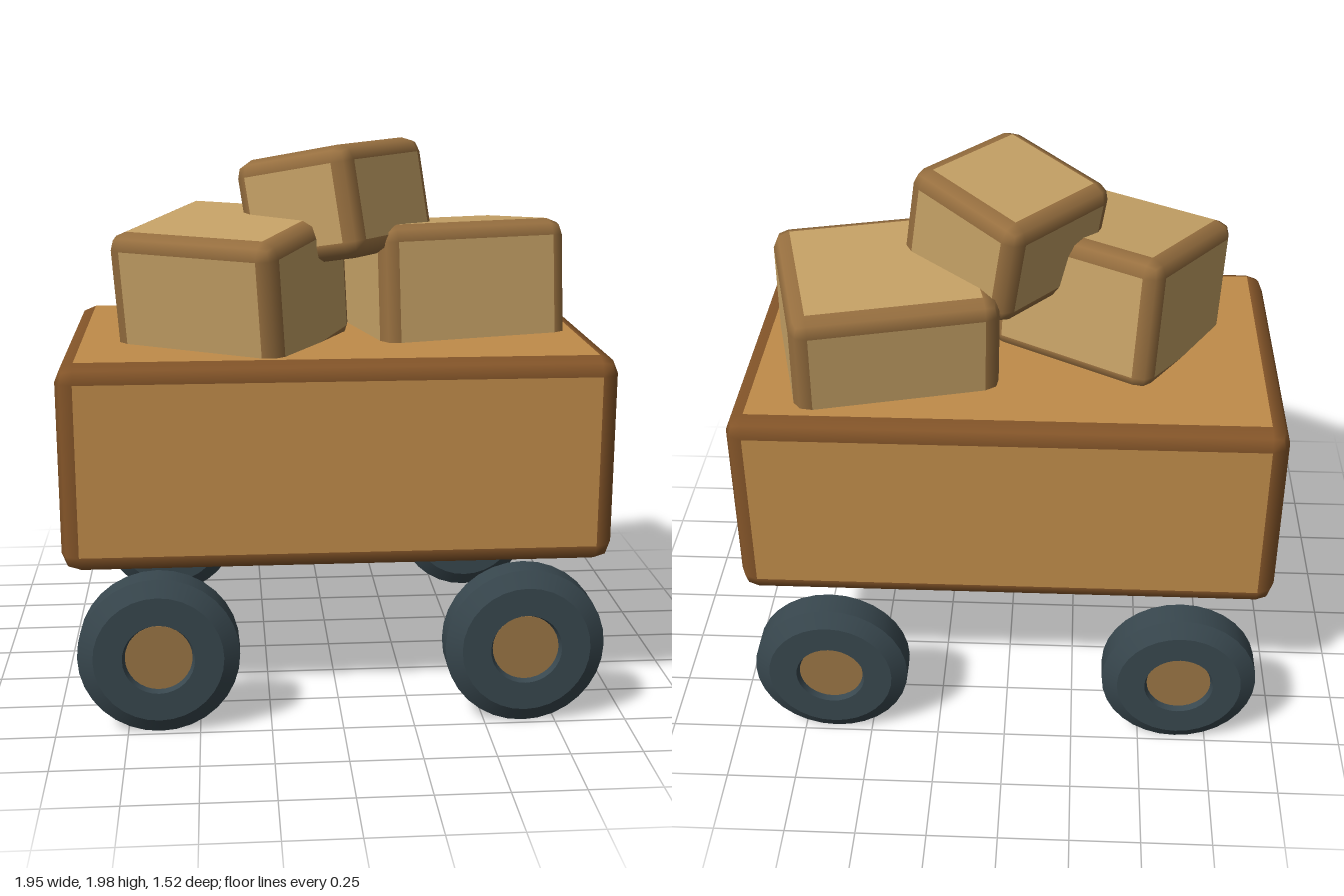
import * as THREE from 'three';
import { RoundedBoxGeometry } from 'three/addons/geometries/RoundedBoxGeometry.js';

const mat = (name, color) => {
  const m = new THREE.MeshStandardMaterial({ color });
  m.name = name;
  return m;
};

// Chamfered box: flat faces use the panel material, bevels use the trim material
function trimmedBox(name, w, h, d, bevel, panel, trim) {
  const source = new RoundedBoxGeometry(w, h, d, 1, bevel);
  const pos = source.attributes.position, nor = source.attributes.normal;
  const lists = [[], []];
  for (let i = 0; i < pos.count; i += 3) {
    let flat = true;
    for (let k = i; k < i + 3; k++) {
      const n = Math.max(Math.abs(nor.getX(k)), Math.abs(nor.getY(k)), Math.abs(nor.getZ(k)));
      if (n < 0.999) flat = false;
    }
    lists[flat ? 0 : 1].push(i, i + 1, i + 2);
  }
  const geo = new THREE.BufferGeometry();
  geo.setAttribute('position', pos);
  geo.setAttribute('normal', nor);
  geo.setIndex([...lists[0], ...lists[1]]);
  geo.addGroup(0, lists[0].length, 0);
  geo.addGroup(lists[0].length, lists[1].length, 1);
  const mesh = new THREE.Mesh(geo, [panel, trim]);
  mesh.name = name;
  return mesh;
}

export function createModel() {
  const model = new THREE.Group();
  model.name = 'loadedCart';
  const cartWood = mat('cart wood', 0xc08c4a);
  const cartTrim = mat('cart trim', 0x845529);
  const crateTan = mat('crate tan', 0xc6a266);
  const crateTrim = mat('crate trim', 0x987040);
  const rubber = mat('tyre rubber', 0x38474e);
  const hubWood = mat('hub wood', 0x9a7545);

  // Cart body
  const body = trimmedBox('cartBody', 1.95, 0.745, 1.2, 0.065, cartWood, cartTrim);
  body.position.y = 0.908;
  model.add(body);

  // Crates: name, size, position, yaw, pitch, roll
  const crates = [
    ['rightCrate', [0.73, 0.5, 0.65], [0.455, 1.42, -0.12], 0.25, -0.1, 0],
    ['leftCrate', [0.67, 0.5, 0.61], [-0.36, 1.465, 0.125], -0.53, 0.12, 0],
    ['topCrate', [0.51, 0.4, 0.53], [0.025, 1.755, 0.01], -0.69, 0, 0.19],
  ];
  for (const [name, size, p, yaw, pitch, roll] of crates) {
    const crate = trimmedBox(name, ...size, 0.06, crateTan, crateTrim);
    crate.position.set(...p);
    crate.rotation.set(pitch, yaw, roll, 'YXZ');
    model.add(crate);
  }

  // Tyre: chamfered ring, with creases kept by building each band separately
  const r = 0.28, hw = 0.081;
  const profile = [[0.115, hw - 0.025], [0.115, -hw + 0.025], [0.125, -hw], [0.225, -hw], [r, -0.047],
    [r, 0.047], [0.225, hw], [0.125, hw], [0.115, hw - 0.025]].map(([x, y]) => new THREE.Vector2(x, y));
  const bands = profile.slice(1).map((p, i) =>
    new THREE.LatheGeometry([profile[i], p], 32).rotateX(Math.PI / 2));
  const hubGeo = new THREE.CylinderGeometry(0.116, 0.116, 2 * (hw - 0.02), 32).rotateX(Math.PI / 2);

  for (const sx of [-1, 1]) for (const sz of [-1, 1]) {
    const wheel = new THREE.Group();
    wheel.name = (sz > 0 ? 'front' : 'back') + (sx > 0 ? 'Left' : 'Right') + 'Wheel';
    for (const band of bands) {
      const tyre = new THREE.Mesh(band, rubber);
      tyre.name = 'tyre';
      wheel.add(tyre);
    }
    const hub = new THREE.Mesh(hubGeo, hubWood);
    hub.name = 'hub';
    wheel.add(hub);
    wheel.position.set(sx * 0.638, r + 0.004, sz * 0.679);
    model.add(wheel);
  }
  return model;
}
